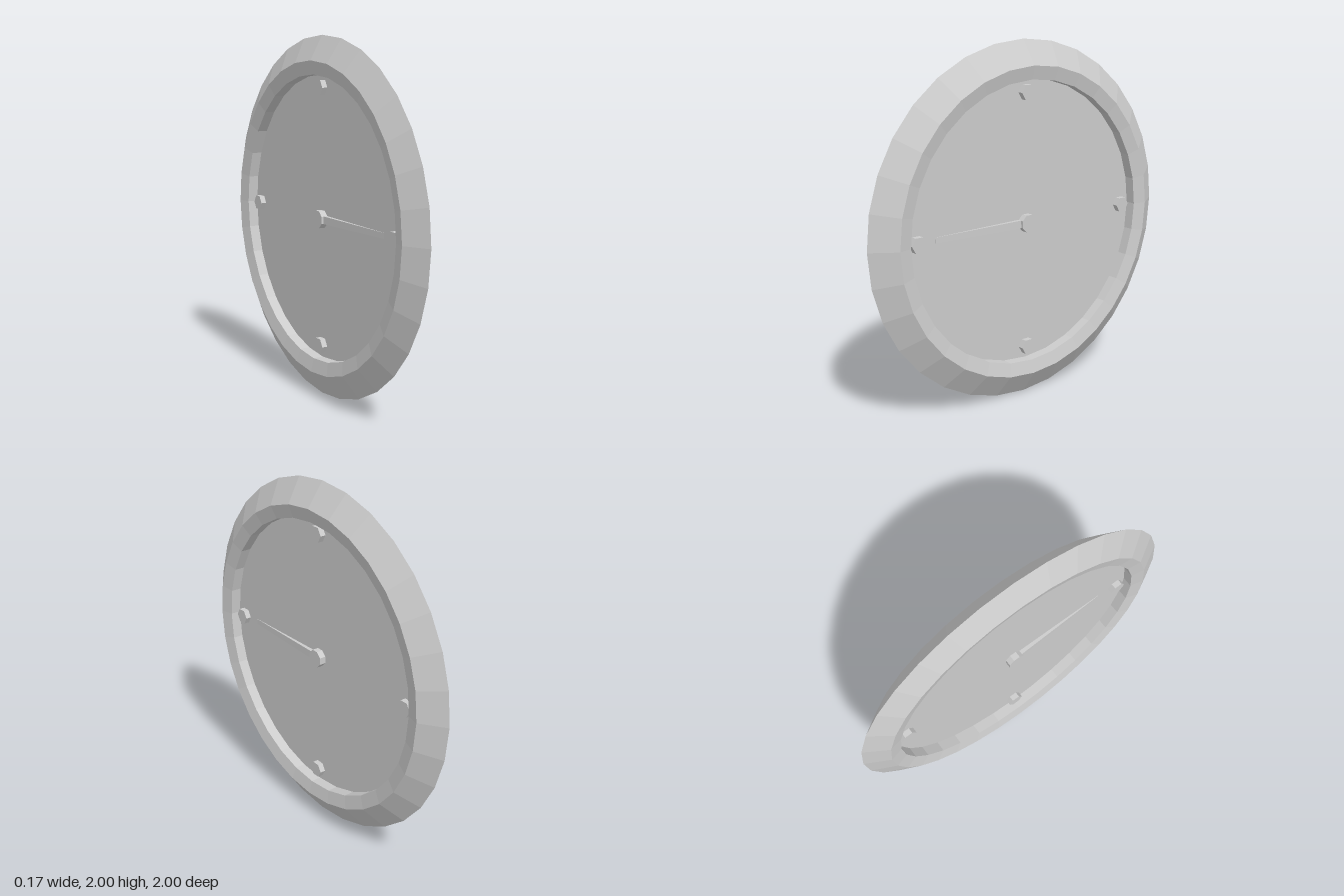
import * as THREE from 'three';

export function createModel() {
  const model = new THREE.Group();
  const mat = new THREE.MeshStandardMaterial({ color: 0xcccccc, flatShading: true });
  const SIDES = 32;

  const add = (parent, name, geometry) => {
    const mesh = new THREE.Mesh(geometry, mat);
    mesh.name = name;
    parent.add(mesh);
    return mesh;
  };

  // Prism lying along x, starting at the middle of the dial
  const stud = (radius, height, sides) =>
    new THREE.CylinderGeometry(radius, radius, height, sides)
      .rotateZ(-Math.PI / 2)
      .translate(height / 2, 0, 0);

  // Everything hangs around the wheel axis, which runs along x at y = 1
  const dial = new THREE.Group();
  dial.name = 'dial';
  dial.position.y = 1;
  model.add(dial);

  // Bevelled rim: closed section swept around the axis
  const section = [
    [0.79, -0.065], [0.865, -0.083], [1, -0.01],
    [0.865, 0.083], [0.79, 0.065], [0.79, -0.065],
  ].map(([r, x]) => new THREE.Vector2(r, x));
  add(dial, 'rim', new THREE.LatheGeometry(section, SIDES).rotateZ(-Math.PI / 2));

  // Thin plate closing the rim
  add(dial, 'plate', new THREE.CylinderGeometry(0.79, 0.79, 0.01, SIDES).rotateZ(-Math.PI / 2));

  // Pointer: bar that narrows and thins towards its tip at +z
  const pointerGeometry = () => {
    const length = 0.6;
    const geo = new THREE.BoxGeometry(1, 1, length).translate(0.5, 0, length / 2);
    const p = geo.attributes.position;
    for (let i = 0; i < p.count; i++) {
      const t = p.getZ(i) / length;
      p.setX(i, p.getX(i) * THREE.MathUtils.lerp(0.03, 0.007, t));
      p.setY(i, p.getY(i) * THREE.MathUtils.lerp(0.044, 0.03, t));
    }
    geo.computeVertexNormals();
    return geo;
  };

  // The same fittings sit on both faces
  for (const [name, turn] of [['leftFace', 0], ['rightFace', Math.PI]]) {
    const face = new THREE.Group();
    face.name = name;
    face.rotation.z = turn;
    dial.add(face);

    add(face, 'hub', stud(0.051, 0.042, 8).rotateX(Math.PI / 8));
    add(face, 'pointer', pointerGeometry());

    // Four hexagonal bolts at the quarter marks
    for (let i = 0; i < 4; i++) {
      const a = (i * Math.PI) / 2;
      const bolt = add(face, 'bolt', stud(0.046, 0.037, 6));
      bolt.position.set(0, 0.72 * Math.cos(a), 0.72 * Math.sin(a));
    }
  }

  return model;
}
